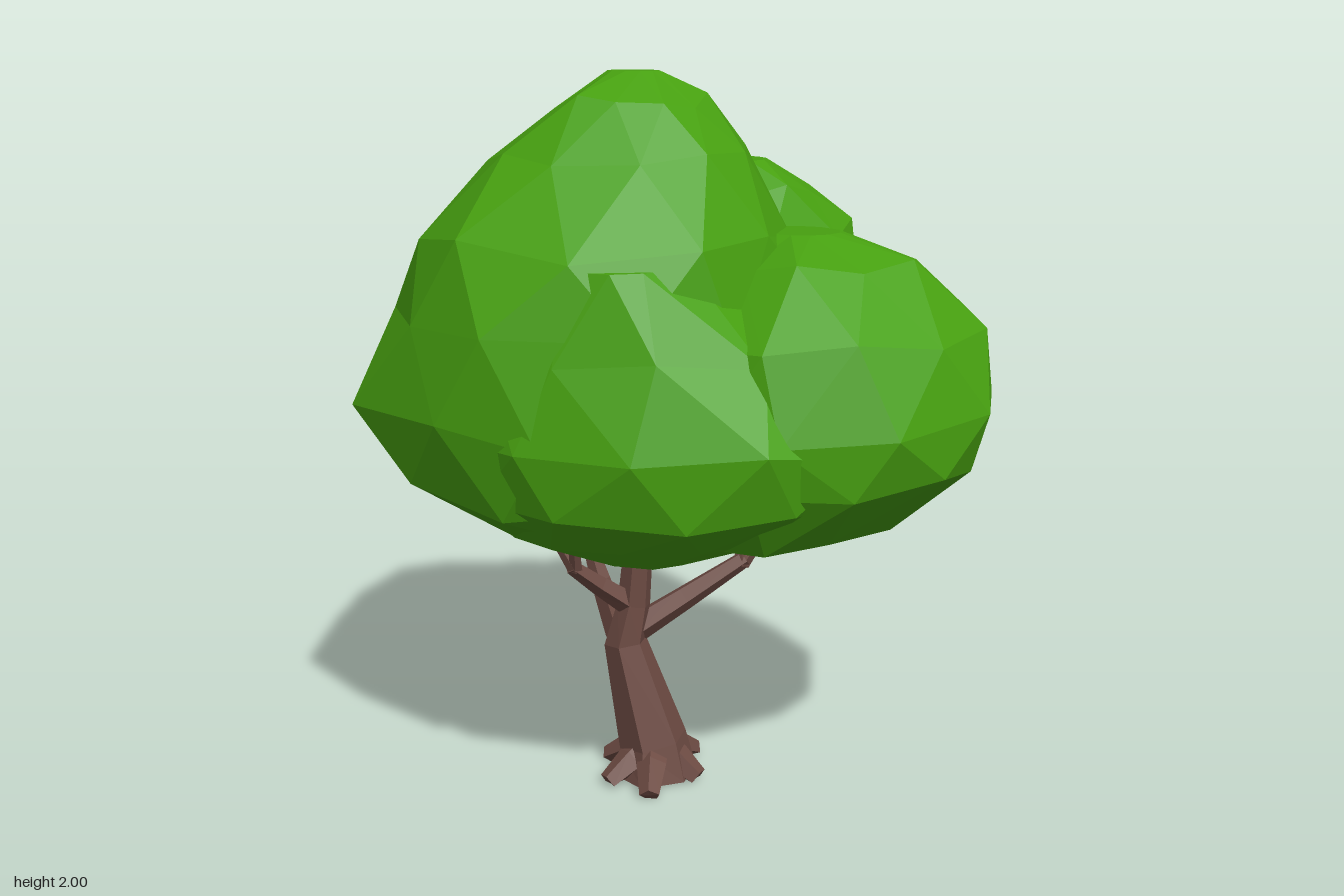
import * as THREE from 'three';

const leafGreen = new THREE.MeshStandardMaterial({ color: 0x47a010 });
const barkBrown = new THREE.MeshStandardMaterial({ color: 0x6d4b43 });

// Small seeded generator, -1..1
function seeded(seed) {
  let s = seed;
  return () => {
    s = (s * 16807) % 2147483647;
    return (s / 2147483647) * 2 - 1;
  };
}

// Skins rings of points (first to last) with flat facets and closes both ends
function loft(rings) {
  const pos = [];
  const tri = (...pts) => pts.forEach((p) => pos.push(p.x, p.y, p.z));
  const centre = (ring) => ring.reduce((c, p) => c.add(p), new THREE.Vector3()).divideScalar(ring.length);
  const n = rings[0].length;
  const first = rings[0], last = rings[rings.length - 1];
  const c0 = centre(first), c1 = centre(last);
  for (let i = 0; i < n; i++) {
    const j = (i + 1) % n;
    for (let k = 0; k < rings.length - 1; k++) {
      const a = rings[k], b = rings[k + 1];
      tri(a[i], a[j], b[i]);
      tri(a[j], b[j], b[i]);
    }
    tri(c0, first[j], first[i]);
    tri(c1, last[i], last[j]);
  }
  const geo = new THREE.BufferGeometry();
  geo.setAttribute('position', new THREE.Float32BufferAttribute(pos, 3));
  geo.computeVertexNormals();
  return geo;
}

// Leaf mass from levels [y, xMin, xMax, zMin, zMax], bottom to top, rings staggered
function lobe(name, levels, n, seed) {
  const rnd = seeded(seed);
  const rings = levels.map(([y, x0, x1, z0, z1], k) => {
    const inner = k > 0 && k < levels.length - 1;
    return Array.from({ length: n }, (_, i) => {
      const a = ((i + k / 2 + rnd() * 0.16) / n) * Math.PI * 2;
      const r = 1.02 + rnd() * 0.035;
      return new THREE.Vector3(
        (x0 + x1) / 2 + ((x1 - x0) / 2) * r * Math.cos(a),
        y + (inner ? rnd() * 0.025 : 0),
        (z0 + z1) / 2 - ((z1 - z0) / 2) * r * Math.sin(a));
    });
  });
  const mesh = new THREE.Mesh(loft(rings), leafGreen);
  mesh.name = name;
  return mesh;
}

// Tapering limb through points [x, y, z, radius], kept above the ground
function limb(name, points, sides) {
  const p = points.map(([x, y, z]) => new THREE.Vector3(x, y, z));
  const end = p.length - 1;
  const along = p[end].clone().sub(p[0]).normalize();
  const ref = Math.abs(along.z) > 0.6 ? new THREE.Vector3(1, 0, 0) : new THREE.Vector3(0, 0, 1);
  const rings = p.map((c, k) => {
    const t = p[Math.min(k + 1, end)].clone().sub(p[Math.max(k - 1, 0)]).normalize();
    const u = ref.clone().cross(t).normalize();
    const v = t.clone().cross(u);
    return Array.from({ length: sides }, (_, i) => {
      const a = ((i + 0.5) / sides) * Math.PI * 2;
      const q = c.clone()
        .addScaledVector(u, Math.cos(a) * points[k][3])
        .addScaledVector(v, Math.sin(a) * points[k][3]);
      q.y = Math.max(q.y, 0);
      return q;
    });
  });
  const mesh = new THREE.Mesh(loft(rings), barkBrown);
  mesh.name = name;
  return mesh;
}

export function createModel() {
  const tree = new THREE.Group();
  tree.name = 'tree';

  // Foliage: overlapping faceted masses
  const foliage = new THREE.Group();
  foliage.name = 'foliage';
  foliage.add(
    lobe('mainFoliage', [
      [0.68, -0.27, 0.02, -0.2, 0.1],
      [0.79, -0.58, 0.25, -0.48, 0.36],
      [0.92, -0.81, 0.35, -0.59, 0.55],
      [1.12, -0.88, 0.4, -0.58, 0.6],
      [1.36, -0.76, 0.4, -0.54, 0.58],
      [1.58, -0.69, 0.32, -0.47, 0.52],
      [1.78, -0.48, 0.21, -0.32, 0.34],
      [1.92, -0.31, 0.1, -0.19, 0.21],
      [2.0, -0.17, -0.03, -0.05, 0.06],
    ], 11, 71),
    lobe('leftFoliage', [
      [0.75, 0.1, 0.4, -0.12, 0.2],
      [0.82, -0.05, 0.64, -0.32, 0.36],
      [1.0, -0.1, 0.83, -0.43, 0.48],
      [1.14, -0.1, 0.88, -0.46, 0.49],
      [1.35, -0.05, 0.83, -0.42, 0.42],
      [1.53, 0.1, 0.66, -0.27, 0.25],
      [1.59, 0.25, 0.46, -0.1, 0.08],
    ], 11, 305),
    lobe('frontFoliage', [
      [0.71, -0.2, 0.12, 0.05, 0.3],
      [0.8, -0.4, 0.36, -0.05, 0.46],
      [0.93, -0.55, 0.52, -0.1, 0.61],
      [1.1, -0.6, 0.58, -0.1, 0.65],
      [1.32, -0.5, 0.42, -0.1, 0.59],
      [1.54, -0.25, 0.15, 0.1, 0.52],
    ], 11, 912),
    lobe('backFoliage', [
      [1.0, 0.0, 0.28, -0.45, -0.2],
      [1.16, -0.16, 0.4, -0.57, -0.08],
      [1.38, -0.22, 0.47, -0.65, 0.0],
      [1.56, -0.18, 0.44, -0.63, -0.02],
      [1.68, -0.06, 0.33, -0.52, -0.1],
      [1.75, 0.03, 0.2, -0.36, -0.2],
    ], 9, 44),
  );
  tree.add(foliage);

  // Trunk and forked branches
  const wood = new THREE.Group();
  wood.name = 'wood';
  wood.add(
    limb('trunk', [
      [-0.03, 0, 0.07, 0.125], [-0.035, 0.1, 0.07, 0.1], [-0.115, 0.4, 0.075, 0.062],
      [-0.09, 0.52, 0.07, 0.048], [-0.075, 0.7, 0.07, 0.042], [-0.08, 0.9, 0.07, 0.02],
    ], 6),
    limb('leftBranch', [[-0.11, 0.42, 0.06, 0.045], [0.04, 0.52, -0.01, 0.036], [0.2, 0.63, -0.08, 0.025]], 5),
    limb('leftUpperTwig', [[0.19, 0.61, -0.075, 0.024], [0.19, 0.72, -0.09, 0.017], [0.19, 0.86, -0.1, 0.008]], 5),
    limb('leftOuterTwig', [[0.19, 0.615, -0.075, 0.024], [0.25, 0.71, -0.11, 0.016], [0.34, 0.84, -0.16, 0.007]], 5),
    limb('rightBranch', [[-0.1, 0.52, 0.08, 0.038], [-0.17, 0.59, 0.14, 0.03], [-0.23, 0.66, 0.2, 0.022]], 5),
    limb('rightOuterTwig', [[-0.22, 0.65, 0.195, 0.022], [-0.27, 0.74, 0.21, 0.015], [-0.33, 0.84, 0.22, 0.007]], 5),
    limb('rightUpperTwig', [[-0.22, 0.65, 0.195, 0.02], [-0.21, 0.74, 0.23, 0.014], [-0.2, 0.84, 0.25, 0.007]], 5),
    limb('backBranch', [[-0.14, 0.42, 0.06, 0.04], [-0.19, 0.58, 0.07, 0.03], [-0.26, 0.78, 0.05, 0.012]], 5),
  );

  // Roots fanned round the foot: [tip x, tip z]
  const tips = [[0.11, 0.1], [0.05, -0.07], [-0.09, -0.08], [-0.18, 0.04], [-0.13, 0.2], [0.01, 0.25]];
  tips.forEach(([x, z], i) => {
    const mx = (x - 0.03) / 2, mz = (z + 0.07) / 2;
    wood.add(limb('root' + (i + 1), [[-0.03, 0.09, 0.07, 0.05], [mx, 0.055, mz, 0.045], [x, 0.01, z, 0.03]], 5));
  });
  tree.add(wood);

  return tree;
}
